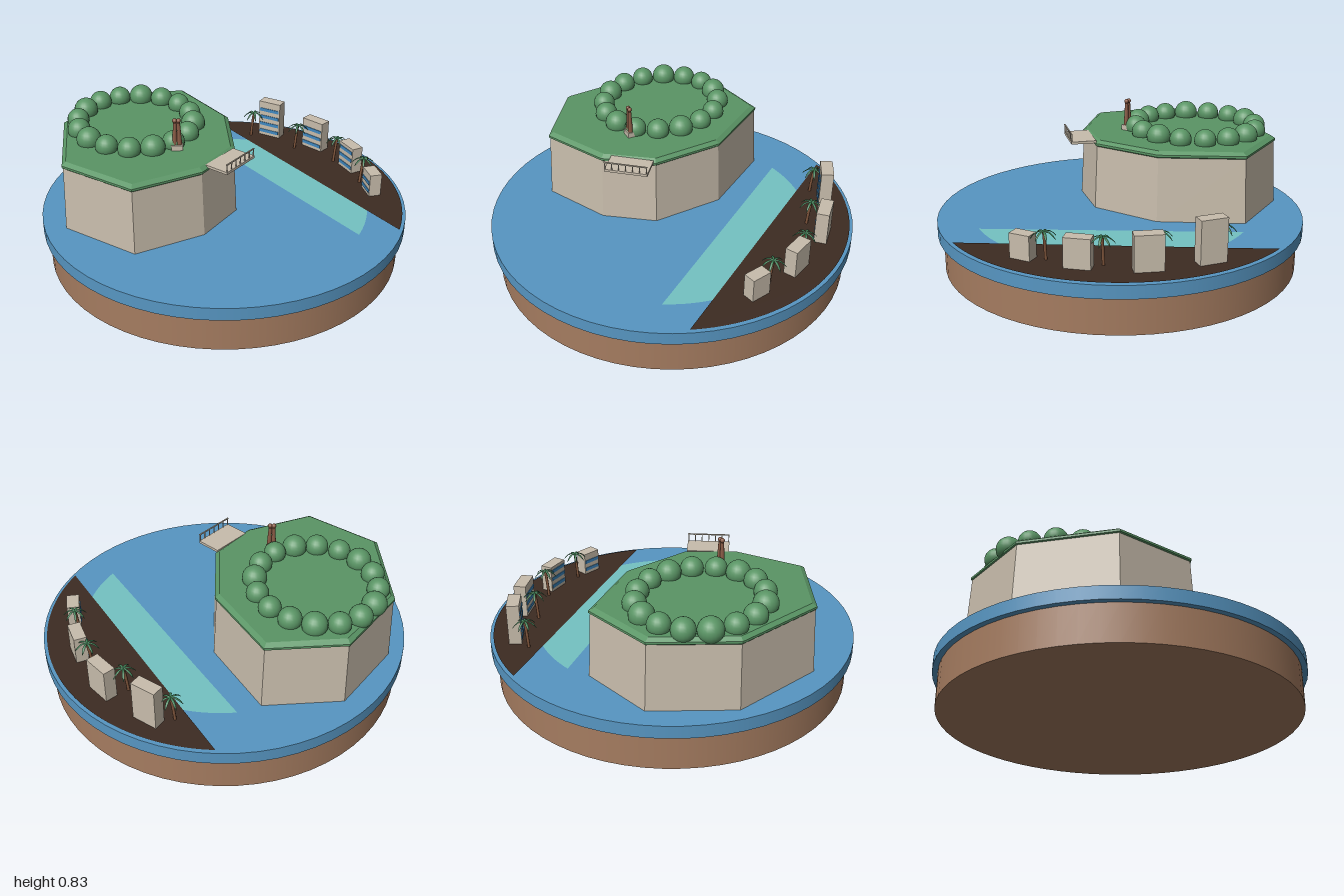
import * as THREE from 'three';

const mat = (name, color, extra = {}) => Object.assign(new THREE.MeshStandardMaterial({ color, ...extra }), { name });

export function createModel() {
  const root = new THREE.Group();
  root.name = 'coastalIsland';
  const M = {
    earth: mat('earth brown', 0xa57c60),
    sea: mat('sea blue', 0x5796c2),
    shallows: mat('shallow teal', 0x74c2c2),
    shore: mat('dark shore', 0x3d2b22),
    rock: mat('pale stone', 0xc8bdac, { flatShading: true }),
    green: mat('grass green', 0x5a9565),
    statue: mat('statue brown', 0x8a5b46),
    window: mat('window blue', 0x4088c0),
    trunk: mat('trunk brown', 0x80563c),
    leaf: mat('palm green', 0x3f7f55, { side: THREE.DoubleSide }),
  };
  const add = (parent, name, geo, material, x = 0, y = 0, z = 0) => {
    const m = new THREE.Mesh(geo, material);
    m.name = name;
    m.position.set(x, y, z);
    parent.add(m);
    return m;
  };
  const group = (name, x, y, z, turn = 0) => {
    const g = new THREE.Group();
    g.name = name;
    g.position.set(x, y, z);
    g.rotation.y = turn;
    root.add(g);
    return g;
  };
  const deg = THREE.MathUtils.degToRad;

  // Round base and sea disc
  add(root, 'earthBase', new THREE.CylinderGeometry(0.97, 0.97, 0.2, 64), M.earth, 0, 0.1, 0);
  add(root, 'sea', new THREE.CylinderGeometry(1, 1, 0.07, 64), M.sea, 0, 0.233, 0);

  // Flat circle segments for the shallows and the shore
  const segment = (cx, cy, r, from, to) => {
    const s = new THREE.Shape();
    s.absarc(cx, cy, r, deg(from), deg(to), false);
    s.closePath();
    return new THREE.ShapeGeometry(s, 40).rotateX(-Math.PI / 2);
  };
  add(root, 'shallows', segment(0.01, -0.036, 0.766, -47.3, 81), M.shallows, 0, 0.27, 0);
  add(root, 'shore', segment(0, 0, 0.982, -40.2, 72.3), M.shore, 0, 0.273, 0);

  // Eight-sided outline of the cliff, lofted through scaled levels
  const cx = -0.39, cz = -0.21;
  const outline = [[-0.89, 0], [-0.615, 0.365], [-0.225, 0.315], [0.02, 0.14],
    [0.125, -0.25], [0, -0.705], [-0.415, -0.785], [-0.775, -0.51]];
  const loft = (levels) => {
    const pos = [];
    const n = outline.length;
    const pt = (i, [y, s]) => [cx + (outline[i % n][0] - cx) * s, y, cz + (outline[i % n][1] - cz) * s];
    const top = levels[levels.length - 1];
    for (let i = 0; i < n; i++) {
      for (let k = 0; k < levels.length - 1; k++) {
        const a = pt(i, levels[k]), b = pt(i + 1, levels[k]);
        const c = pt(i + 1, levels[k + 1]), d = pt(i, levels[k + 1]);
        pos.push(...a, ...b, ...c, ...a, ...c, ...d);
      }
      pos.push(...pt(i, top), ...pt(i + 1, top), cx, top[0], cz);
    }
    const g = new THREE.BufferGeometry();
    g.setAttribute('position', new THREE.Float32BufferAttribute(pos, 3));
    g.computeVertexNormals();
    return g;
  };
  add(root, 'cliff', loft([[0.26, 1], [0.62, 0.97]]), M.rock);
  add(root, 'grassCap', loft([[0.615, 0.96], [0.625, 0.982], [0.637, 0.982], [0.653, 0.935]]), M.green);

  // Ring of bushes
  const bushSizes = [0.06, 0.066, 0.062];
  for (let i = 0; i < 16; i++) {
    const a = (i / 16) * Math.PI * 2;
    add(root, 'bush', new THREE.SphereGeometry(bushSizes[i % 3], 20, 14), M.green,
      -0.405 + Math.cos(a) * 0.315, 0.675, -0.315 + Math.sin(a) * 0.342);
  }

  // Statue of two joined figures on a plinth
  const statue = group('statue', -0.28, 0.65, 0.05, deg(-20));
  add(statue, 'plinth', new THREE.BoxGeometry(0.06, 0.032, 0.04), M.rock, 0, 0.016, 0);
  for (const s of [-1, 1]) {
    const body = add(statue, 'figureBody', new THREE.CylinderGeometry(0.009, 0.014, 0.125, 10), M.statue, s * 0.011, 0.092, 0);
    body.rotation.z = s * 0.03;
    add(statue, 'figureHead', new THREE.SphereGeometry(0.0125, 12, 10), M.statue, s * 0.01, 0.167, 0);
  }

  // Viewing platform with a railing on its outer edge
  const deck = group('viewingPlatform', -0.062, 0.643, 0.257, deg(32));
  add(deck, 'deck', new THREE.BoxGeometry(0.232, 0.014, 0.138), M.rock);
  for (let i = 0; i < 7; i++) {
    add(deck, 'railPost', new THREE.BoxGeometry(0.005, 0.045, 0.005), M.rock, -0.112 + i * 0.0373, 0.028, 0.066);
  }
  add(deck, 'handrail', new THREE.BoxGeometry(0.232, 0.006, 0.006), M.rock, 0, 0.048, 0.066);

  // Shore buildings with window bands on the inland face: x, z, length, height, turn
  const buildings = [
    [0.562, -0.65, 0.142, 0.23, 40], [0.746, -0.395, 0.146, 0.187, 27],
    [0.822, -0.075, 0.135, 0.158, 7], [0.806, 0.218, 0.112, 0.133, -7],
  ];
  for (const [x, z, len, h, turn] of buildings) {
    const b = group('building', x, 0.27, z, deg(turn));
    add(b, 'tower', new THREE.BoxGeometry(0.068, h, len), M.rock, 0, h / 2, 0);
    for (let y = 0.033; y < h - 0.015; y += 0.048) {
      add(b, 'windowBand', new THREE.BoxGeometry(0.006, 0.02, len * 0.9), M.window, -0.0345, y, 0);
    }
  }

  // Drooping palm leaf, bent and tapered from a plane
  const leafGeo = new THREE.PlaneGeometry(0.064, 0.018, 5, 2).rotateX(-Math.PI / 2).translate(0.032, 0, 0);
  const p = leafGeo.attributes.position;
  for (let i = 0; i < p.count; i++) {
    const t = p.getX(i) / 0.064;
    const side = Math.abs(p.getZ(i)) / 0.009;
    p.setY(i, 0.028 * t - 0.06 * t * t - side * 0.004);
    p.setZ(i, p.getZ(i) * (0.35 + 1.6 * t * (1 - t)) * (t > 0.99 ? 0.2 : 1));
  }
  leafGeo.computeVertexNormals();

  // Palm trees along the shore
  const palms = [[0.455, -0.685], [0.638, -0.42], [0.785, -0.18], [0.81, 0.105]];
  palms.forEach(([x, z], k) => {
    const palm = group('palm', x, 0.27, z);
    const path = new THREE.QuadraticBezierCurve3(
      new THREE.Vector3(-0.018, 0, 0), new THREE.Vector3(-0.012, 0.08, 0), new THREE.Vector3(0, 0.155, 0));
    add(palm, 'palmTrunk', new THREE.TubeGeometry(path, 8, 0.008, 8), M.trunk);
    for (let i = 0; i < 7; i++) {
      const leaf = add(palm, 'palmLeaf', leafGeo, M.leaf, 0, 0.155, 0);
      leaf.rotation.y = (i / 7) * Math.PI * 2 + k * 0.5;
    }
  });

  return root;
}
